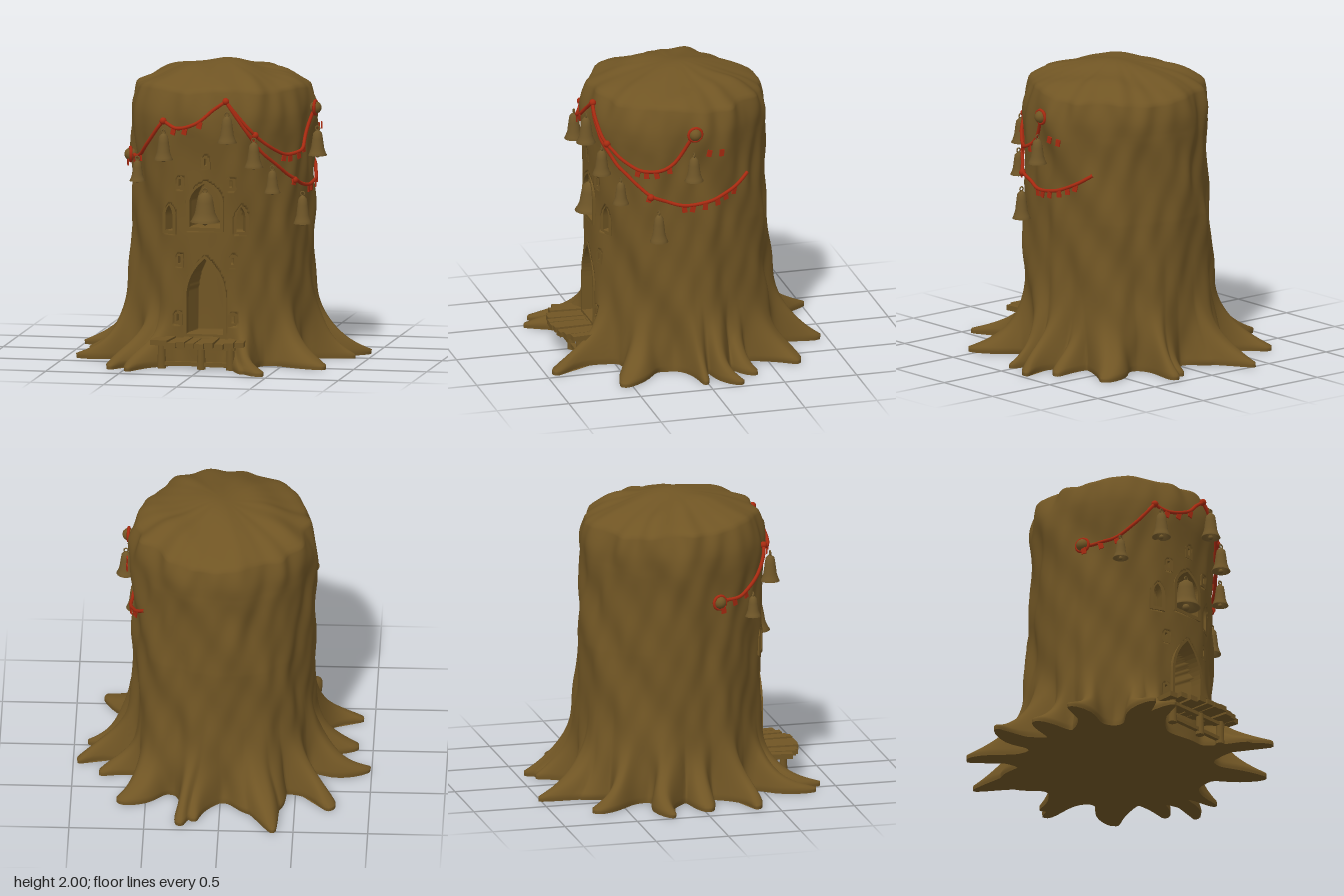
import * as THREE from 'three';
import { mergeVertices } from 'three/addons/utils/BufferGeometryUtils.js';

const mat = (name, color) => {
  const m = new THREE.MeshStandardMaterial({ color });
  m.name = name;
  return m;
};
const { sin, cos, exp, max, min, abs, sqrt, PI, atan2, hypot } = Math;

// root tips: x, z, angular width, height falloff
const roots = [
  [-0.37, -0.99, 0.085, 0.17], [-0.3, -0.78, 0.2, 0.2], [0.26, -0.91, 0.08, 0.19], [0.15, -0.85, 0.1, 0.18],
  [0.67, -0.69, 0.11, 0.18], [0.8, -0.38, 0.07, 0.12], [0.98, -0.2, 0.08, 0.16], [0.91, 0.02, 0.075, 0.15],
  [0.84, 0.58, 0.095, 0.13], [0.44, 0.98, 0.08, 0.12], [0.32, 0.9, 0.06, 0.08], [-0.5, 0.91, 0.075, 0.12],
  [-0.64, 0.82, 0.085, 0.12], [-0.94, 0.38, 0.085, 0.15], [-0.92, 0.02, 0.08, 0.15], [-0.99, -0.28, 0.085, 0.16],
  [-0.76, -0.7, 0.095, 0.17],
].map(([x, z, w, fall]) => ({ angle: atan2(x, z), length: hypot(x, z), w, fall }));

// openings: angle, bottom, spring line, top, half width, depth
const openings = [
  ['door', 0, 0.22, 0.46, 0.73, 0.125, 0.2],
  ['mainWindow', 0, 0.94, 1.1, 1.24, 0.105, 0.15],
  ['sideWindow', -0.43, 0.91, 1.0, 1.08, 0.03, 0.08],
  ['sideWindow', 0.42, 0.91, 1.0, 1.08, 0.03, 0.08],
  ...[[-0.29, 1.215], [0.3, 1.215], [0.01, 1.36], [-0.31, 0.69], [0.32, 0.69], [-0.32, 0.3], [0.32, 0.3]]
    .map(([a, y]) => ['slot', a, y, y + 0.046, y + 0.05, 0.01, 0.05]),
].map(([name, angle, y0, spring, y1, w, depth]) => ({ name, angle, y0, spring, y1, w, depth }));

// trunk radius at an angle (0 = front) and height
function bark(a, y) {
  const calm = 1 - 0.75 * exp(-((a / 0.55) ** 2));
  let r = 0.602 + 0.016 * exp(-(((y - 1.62) / 0.16) ** 2)) + 0.01 * exp(-y / 0.3);
  r -= 1.1 * max(0, y - 1.66) ** 2;
  r -= 0.035 * cos(a) * max(0, min(1, (1.6 - y) / 0.6)) * (a * a > 2.4 ? 1 : 0.4);
  r += calm * (0.01 * sin(5 * a + 3 * y) + 0.007 * sin(9 * a - 2.3 * y + 1) + 0.006 * sin(17 * a + 4 * sin(2 * y))
    + 0.006 * sin(7 * a + 9 * y) + 0.006 * sin(11 * a + 13 * y) + 0.005 * sin(23 * a - 7 * y) * sin(8 * y));
  r += 0.012 * max(0, (y - 1.55) / 0.3) * sin(14 * a + 6 * y);
  let grow = 0;
  for (const root of roots) {
    const d = atan2(sin(a - root.angle), cos(a - root.angle));
    const fall = y < 0.03 ? 1 : exp(-(y - 0.03) / root.fall);
    grow = max(grow, ((root.length - 0.62) * fall) / (1 + abs(d / (root.w * (1 + 1.5 * y))) ** 3));
  }
  return r + grow * (1 - exp(-((a / 0.25) ** 4)));
}

// radius with the openings pressed in
function carved(a, y) {
  const r = bark(a, y);
  for (const o of openings) {
    if (abs(a - o.angle) > 1) continue;
    const k = max(0, (y - o.spring) / (o.y1 + 0.012 - o.spring));
    if (y < o.y0 - 0.012 || k > 1) continue;
    const t = 3 - sqrt(9 - 5 * k);
    if (abs(r * sin(a - o.angle)) < (o.w + 0.012) * (1 - t * t)) return bark(o.angle, y) - o.depth;
  }
  return r;
}

// point at a radius, with the roots winding sideways
function wind(a, y, r) {
  const bend = r > 0.65 ? 0.06 * sin((PI * (r - 0.65)) / 0.32) * cos(5 * a) : 0;
  return [r * sin(a + bend), y, r * cos(a + bend)];
}

const onTrunk = (a, y, out) => new THREE.Vector3((bark(a, y) + out) * sin(a), y, (bark(a, y) + out) * cos(a));

function archPath(T, o, grow) {
  const w = o.w + grow, top = o.y1 + grow;
  const p = new T();
  p.moveTo(-w, o.y0 - grow);
  p.lineTo(w, o.y0 - grow);
  p.lineTo(w, o.spring);
  p.quadraticCurveTo(w, o.spring + 0.6 * (top - o.spring), 0, top);
  p.quadraticCurveTo(-w, o.spring + 0.6 * (top - o.spring), -w, o.spring);
  p.closePath();
  return p;
}

export function createModel() {
  const model = new THREE.Group();
  const wood = mat('barkBrown', 0x705524);
  const brass = mat('bellBrown', 0x6f5628);
  brass.side = THREE.DoubleSide;
  const red = mat('ropeRed', 0xa82a10);
  const add = (name, geo, m, parent = model) => {
    const mesh = new THREE.Mesh(geo, m);
    mesh.name = name;
    parent.add(mesh);
    return mesh;
  };

  // trunk with roots and domed top
  const trunk = new THREE.CylinderGeometry(1, 1, 1, 360, 145, true, PI, PI * 2);
  const pos = trunk.attributes.position;
  for (let i = 0; i < pos.count; i++) {
    const a = atan2(pos.getX(i), pos.getZ(i)), t = pos.getY(i) + 0.5;
    const rim = 1.84 + 0.025 * cos(a) + 0.01 * sin(6 * a);
    if (t <= 0.88) {
      const y = (rim * t) / 0.88;
      pos.setXYZ(i, ...wind(a, y, carved(a, y)));
    } else {
      const s = 1 - (t - 0.88) / 0.12;
      const r = bark(a, rim) * s, x = r * sin(a), z = r * cos(a);
      const lump = (0.014 * sin(9 * x + 2) * sin(8 * z + 1) + 0.01 * sin(15 * x - 9 * z)) * (1 - s ** 6);
      pos.setXYZ(i, x, rim + (1.985 - rim) * (1 - s ** 2.3) + lump, z);
    }
  }
  trunk.deleteAttribute('uv');
  trunk.deleteAttribute('normal');
  const smooth = mergeVertices(trunk, 1e-5);
  smooth.computeVertexNormals();
  add('trunk', smooth, wood);

  // flat underside
  const base = new THREE.CircleGeometry(1, 360).rotateX(PI / 2);
  const bp = base.attributes.position;
  for (let i = 1; i < bp.count; i++) {
    const a = atan2(bp.getX(i), bp.getZ(i));
    bp.setXYZ(i, ...wind(a, 0, bark(a, 0)));
  }
  add('underside', base, wood);

  // door and window frames
  for (const o of openings) {
    const ring = archPath(THREE.Shape, o, 0.024);
    ring.holes.push(archPath(THREE.Path, o, 0));
    const frame = add(o.name + 'Frame',
      new THREE.ExtrudeGeometry(ring, { depth: o.depth + 0.001, bevelEnabled: false, curveSegments: 10 }), wood);
    const r = bark(o.angle, (o.y0 + o.y1) / 2) - o.depth;
    frame.position.set(r * sin(o.angle), 0, r * cos(o.angle));
    frame.rotation.y = o.angle;
  }

  // porch of fanned planks on posts
  const porch = new THREE.Group();
  porch.name = 'porch';
  model.add(porch);
  for (let i = 0; i < 10; i++) {
    const x = -0.3 + i * 0.0625;
    const end = 0.85 - 1.1 * x * x, start = 0.54;
    const plank = add('plank', new THREE.BoxGeometry(0.059, 0.035, end - start), wood, porch);
    plank.position.set(x, 0.178 + 0.006 * sin(i * 2.4), (end + start) / 2);
    plank.rotation.y = x * 0.35;
  }
  for (const x of [-0.27, 0, 0.2]) {
    add('post', new THREE.CylinderGeometry(0.024, 0.03, 0.165, 10), wood, porch).position.set(x, 0.0825, 0.7);
  }
  for (const y of [0.035, 0.145]) {
    add('beam', new THREE.BoxGeometry(0.5, 0.025, 0.03), wood, porch).position.set(-0.02, y, 0.7);
  }

  // bells, hung by their top
  const profile = [[0, 1], [0.2, 0.98], [0.46, 0.88], [0.56, 0.65], [0.68, 0.3], [0.86, 0.1], [1, 0], [0.9, 0], [0.6, 0.2], [0, 0.75]];
  const bell = (p, radius, height) => {
    const g = new THREE.Group();
    g.name = 'bell';
    g.position.copy(p);
    add('bellBody', new THREE.LatheGeometry(
      profile.map(([r, y]) => new THREE.Vector2(r * radius, (y - 1) * height)).reverse(), 24), brass, g);
    add('clapper', new THREE.SphereGeometry(radius * 0.25, 12, 8), brass, g).position.y = -height;
    add('hanger', new THREE.TorusGeometry(0.014, 0.005, 6, 12), brass, g).position.y = 0.012;
    model.add(g);
  };
  bell(new THREE.Vector3(0, 1.18, 0.575), 0.1, 0.2);
  for (const [a, y, r, h] of [[-0.43, 1.575, 0.065, 0.18], [-0.85, 1.36, 0.054, 0.14], [0.25, 1.71, 0.066, 0.18],
    [0.52, 1.53, 0.064, 0.17], [0.74, 1.33, 0.056, 0.155], [1.16, 1.13, 0.062, 0.19], [1.52, 1.54, 0.064, 0.17]]) {
    bell(onTrunk(a, y, 0.055), r, h);
  }

  // rope garlands: points are angle and height
  const ropes = [
    [[-1.28, 1.36], [-0.95, 1.38], [-0.7, 1.49], [-0.48, 1.65]],
    [[-0.48, 1.65], [-0.3, 1.61], [-0.08, 1.65], [0.1, 1.74], [0.24, 1.8]],
    [[0.24, 1.8], [0.55, 1.57], [0.86, 1.44], [1.07, 1.42], [1.33, 1.49], [1.54, 1.7]],
    [[0.24, 1.8], [0.58, 1.49], [0.82, 1.36], [1.07, 1.25], [1.41, 1.18], [1.73, 1.2], [1.98, 1.26], [2.2, 1.34]],
  ];
  const flag = (a, y, out = 0.022) => {
    const f = add('pennant', new THREE.BoxGeometry(0.034, 0.047, 0.008), red);
    f.position.copy(onTrunk(a, y - 0.025, out));
    f.rotation.set(0, a, 0.25 * sin(a * 40));
  };
  const spots = [[0.22, 0.4], [0.2, 0.36, 0.55], [0.45, 0.55, 0.65, 0.75], [0.42, 0.58, 0.62, 0.68, 0.75, 0.81, 0.87]];
  ropes.forEach((pts, n) => {
    const path = new THREE.SplineCurve(pts.map(([a, y]) => new THREE.Vector2(a, y)));
    const line = path.getPoints(40).map((p) => onTrunk(p.x, p.y, 0.018));
    add('rope', new THREE.TubeGeometry(new THREE.CatmullRomCurve3(line), 80, 0.012, 8), red);
    for (const t of spots[n]) {
      const p = path.getPoint(t);
      flag(p.x, p.y);
    }
  });
  flag(1.69, 1.575);
  flag(1.82, 1.57);
  flag(-1.25, 1.335, 0.05);

  // knots and pegs holding the ropes
  for (const [a, y] of [[-0.48, 1.65], [0.24, 1.8], [0.55, 1.57], [1.07, 1.24]]) {
    add('knot', new THREE.SphereGeometry(0.024, 12, 8), red).position.copy(onTrunk(a, y, 0.018));
  }
  for (const [a, y, out] of [[-1.28, 1.36, 0.035], [1.54, 1.69, 0.02]]) {
    add('peg', new THREE.SphereGeometry(0.042, 16, 12), wood).position.copy(onTrunk(a, y, out));
    const loop = add('pegLoop', new THREE.TorusGeometry(0.045, 0.011, 8, 24), red);
    loop.position.copy(onTrunk(a, y, out));
    loop.rotation.y = a;
  }
  return model;
}
